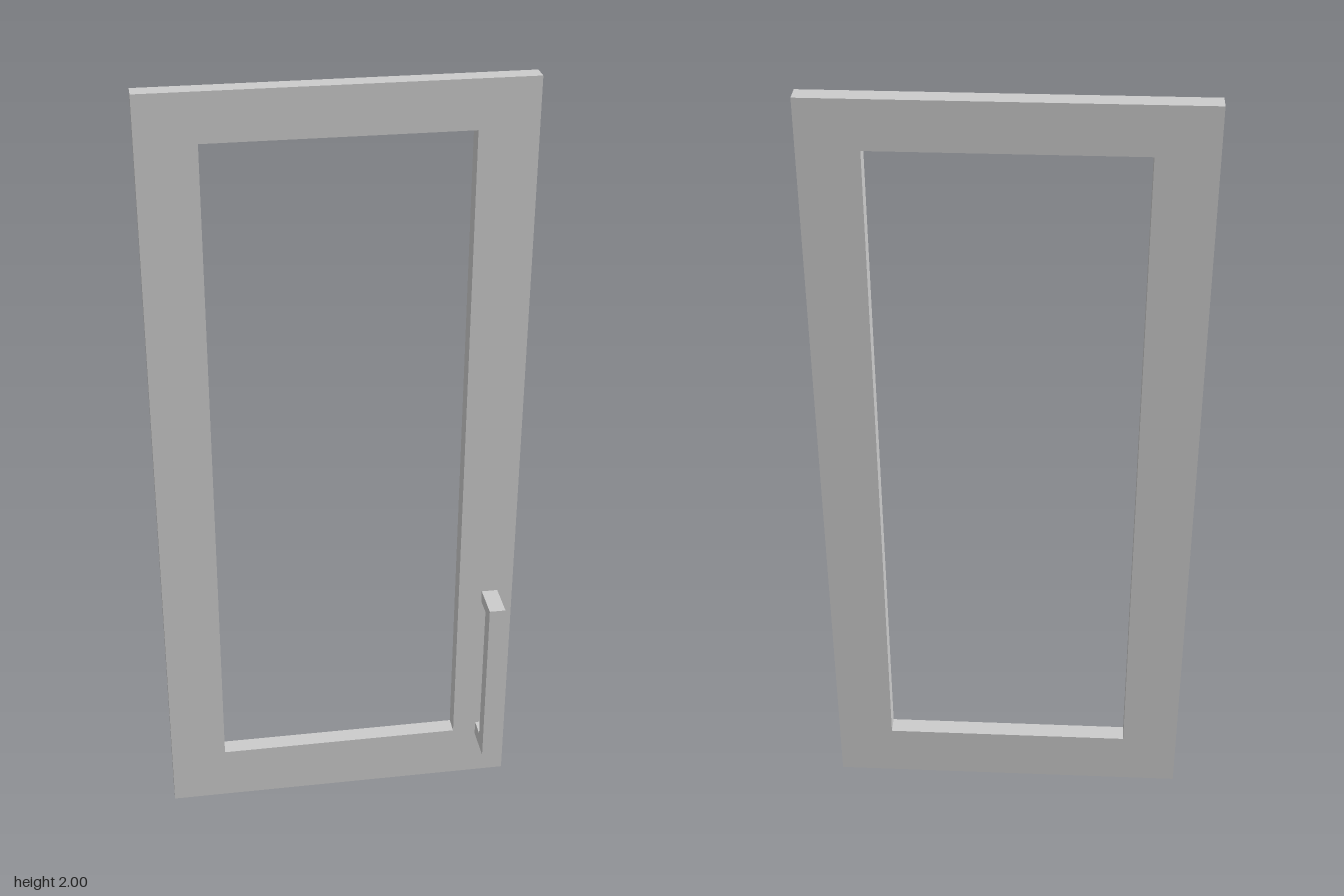
import * as THREE from 'three';

const material = new THREE.MeshStandardMaterial({ color: 0xcccccc, flatShading: true });

// Closed outline from corner pairs
const outline = (Type, corners) => new Type(corners.map(([x, y]) => new THREE.Vector2(x, y)));
const rect = (x0, y0, x1, y1) => [[x0, y0], [x1, y0], [x1, y1], [x0, y1]];

function extrude(name, shape, depth) {
  const mesh = new THREE.Mesh(new THREE.ExtrudeGeometry(shape, { depth, bevelEnabled: false }), material);
  mesh.name = name;
  return mesh;
}

export function createModel() {
  const model = new THREE.Group();
  model.name = 'cabinetDoor';

  // Door frame with an open panel
  const frameShape = outline(THREE.Shape, rect(-0.463, 0, 0.463, 2));
  frameShape.holes.push(outline(THREE.Path, rect(-0.319, 0.147, 0.319, 1.88)));
  const frame = extrude('doorFrame', frameShape, 0.046);
  frame.position.z = -0.071;
  model.add(frame);

  // C-shaped pull handle: side profile (z, y), extruded across x
  const back = -0.025, grip = 0.026, front = 0.071;
  const handleShape = outline(THREE.Shape, [
    [back, 0.13], [front, 0.13], [front, 0.609], [back, 0.609],
    [back, 0.577], [grip, 0.577], [grip, 0.169], [back, 0.169],
  ]);
  const handle = extrude('handle', handleShape, 0.042);
  handle.rotation.y = -Math.PI / 2;
  handle.position.x = 0.423;
  model.add(handle);

  return model;
}
